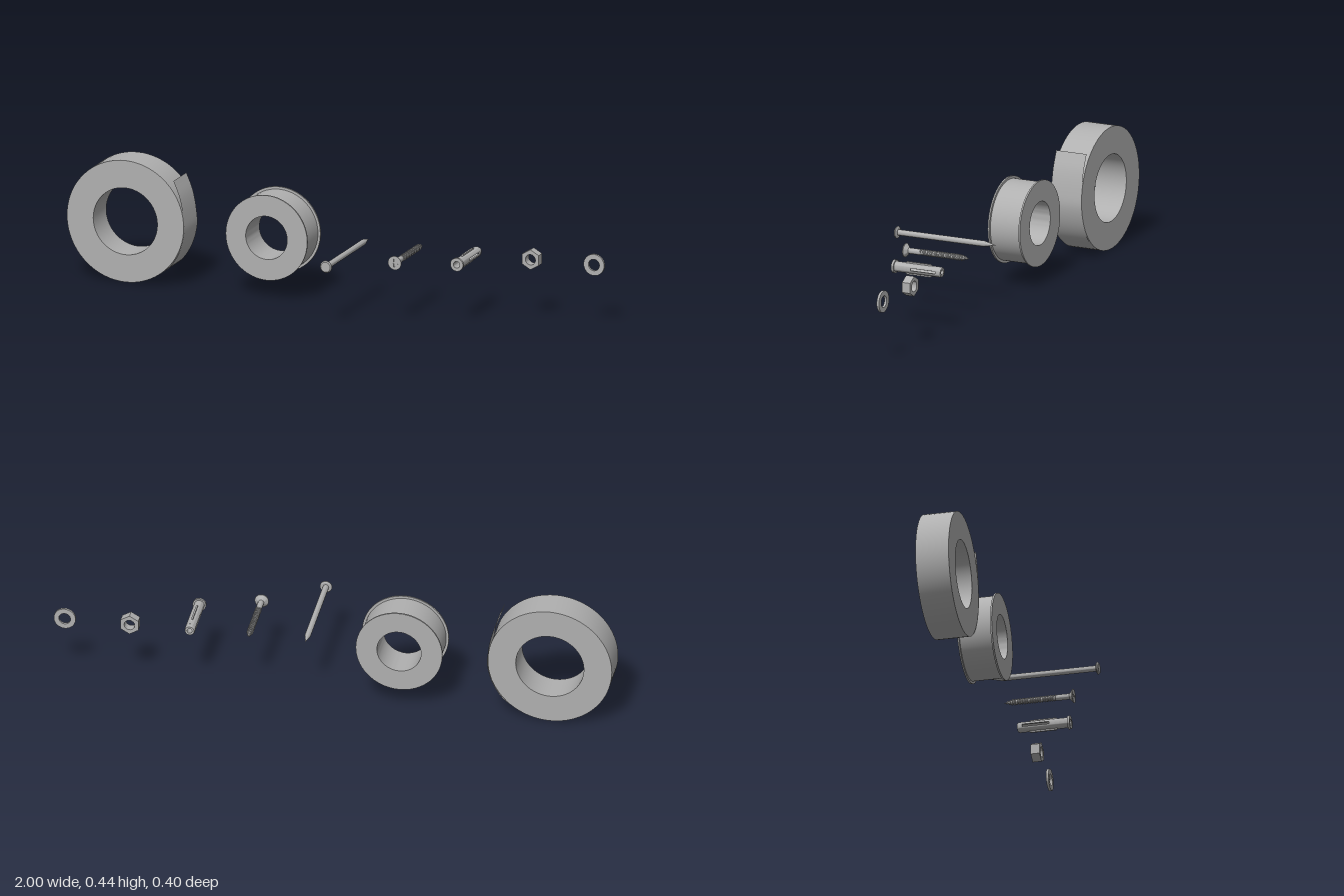
import * as THREE from 'three';
import { toCreasedNormals } from 'three/addons/utils/BufferGeometryUtils.js';

const AXIS_Y = 0.223; // height of every item's axis
const BACK = -0.197; // common back plane

export function createModel() {
  const root = new THREE.Group();
  const grey = new THREE.MeshStandardMaterial({ color: 0xb0b0b0, side: THREE.DoubleSide });
  grey.name = 'grey';

  const item = (name, x) => {
    const g = new THREE.Group();
    g.name = name;
    g.position.set(x, AXIS_Y, 0);
    root.add(g);
    return g;
  };
  const add = (group, name, geometry) => {
    const m = new THREE.Mesh(geometry, grey);
    m.name = name;
    group.add(m);
    return m;
  };
  // Turned solid along z from [radius, z] pairs, back to front
  const turned = (pairs, segments = 32) => {
    const g = new THREE.LatheGeometry(pairs.map(([r, z]) => new THREE.Vector2(r, z)), segments);
    g.rotateX(Math.PI / 2);
    return toCreasedNormals(g, 0.5);
  };
  const ring = (outer, inner, z0, z1, segments) =>
    turned([[inner, z0], [outer, z0], [outer, z1], [inner, z1], [inner, z0]], segments);
  const extruded = (shape, z0, z1, curveSegments = 24) => {
    const g = new THREE.ExtrudeGeometry(shape, { depth: z1 - z0, bevelEnabled: false, curveSegments });
    g.translate(0, 0, z0);
    return toCreasedNormals(g, 0.5);
  };
  const circleHole = (r) => new THREE.Path().absarc(0, 0, r, 0, Math.PI * 2, true);

  // Wide tape roll with a loose tail
  const roll = item('tapeRoll', -0.778);
  add(roll, 'tapeRing', ring(0.222, 0.122, BACK, -0.077, 72));
  const tailCurve = new THREE.CatmullRomCurve3([
    [0.183, 0.167], [0.207, 0.107], [0.221, 0.037], [0.224, -0.023],
    [0.204, -0.094], [0.169, -0.149], [0.119, -0.188],
  ].map(([x, y]) => new THREE.Vector3(x, y, 0)));
  const tail = new THREE.PlaneGeometry(1, 1, 32, 1);
  const pos = tail.attributes.position;
  for (let i = 0; i < pos.count; i++) {
    const p = tailCurve.getPoint(THREE.MathUtils.clamp(pos.getX(i) + 0.5, 0, 1));
    pos.setXYZ(i, p.x, p.y, pos.getY(i) > 0 ? -0.077 : BACK);
  }
  tail.computeVertexNormals();
  add(roll, 'tapeTail', tail);

  // Spool with thin flanges
  const spool = item('spool', -0.238);
  add(spool, 'spoolBody', turned([
    [0.079, BACK], [0.155, BACK], [0.155, -0.191], [0.146, -0.191],
    [0.146, -0.076], [0.155, -0.076], [0.155, -0.07], [0.079, -0.07], [0.079, BACK],
  ], 72));

  // Nail
  const nail = item('nail', 0.098);
  add(nail, 'nailShaft', turned([[0, BACK], [0.0105, -0.15], [0.0105, 0.19]], 24));
  add(nail, 'nailHead', turned([
    [0, 0.189], [0.017, 0.189], [0.022, 0.192], [0.022, 0.195], [0.018, 0.199], [0, 0.199],
  ], 24));

  // Countersunk screw
  const screw = item('screw', 0.302);
  add(screw, 'screwShaft', turned([
    [0, BACK], [0.008, -0.165], [0.009, -0.01], [0.0105, 0], [0.0105, 0.042], [0.025, 0.054], [0, 0.054],
  ], 24));
  const cap = new THREE.Shape().absarc(0, 0, 0.025, 0, Math.PI * 2, false);
  const cross = new THREE.Path();
  const a = 0.003, b = 0.014;
  cross.setFromPoints([
    [a, a], [a, b], [-a, b], [-a, a], [-b, a], [-b, -a],
    [-a, -a], [-a, -b], [a, -b], [a, -a], [b, -a], [b, a],
  ].map(([x, y]) => new THREE.Vector2(x, y)));
  cap.holes.push(cross);
  add(screw, 'screwHead', extruded(cap, 0.054, 0.057));
  class Helix extends THREE.Curve {
    getPoint(t, target = new THREE.Vector3()) {
      const z = -0.005 - 0.182 * t;
      const r = z < -0.165 ? 0.0095 * (z - BACK) / (-0.165 - BACK) : 0.0095;
      const angle = t * 20 * Math.PI * 2;
      return target.set(Math.cos(angle) * r, Math.sin(angle) * r, z);
    }
  }
  add(screw, 'screwThread', new THREE.TubeGeometry(new Helix(), 400, 0.0027, 4));

  // Wall plug: collar, sleeve, split middle, closed tip and gripping fins
  const plug = item('wallPlug', 0.512);
  add(plug, 'plugCollar', ring(0.024, 0.012, -0.015, -0.006));
  add(plug, 'plugSleeve', ring(0.0185, 0.012, -0.08, -0.015));
  add(plug, 'plugTip', turned([
    [0.009, BACK], [0.0165, BACK], [0.0185, -0.19], [0.0185, -0.178],
    [0.012, -0.178], [0.009, BACK],
  ]));
  const half = new THREE.Shape();
  half.absarc(0, 0, 0.0185, 0.245, Math.PI - 0.245, false);
  half.absarc(0, 0, 0.012, Math.PI - 0.385, 0.385, true);
  half.closePath();
  const fin = new THREE.Shape();
  fin.moveTo(0.052, 0.015);
  fin.lineTo(0.058, 0.0235);
  fin.lineTo(0.15, 0.0235);
  fin.lineTo(0.165, 0.015);
  const finGeometry = extruded(fin, -0.003, 0.003);
  finGeometry.rotateY(Math.PI / 2);
  for (const turn of [0, Math.PI]) {
    add(plug, 'plugHalf', extruded(half, -0.178, -0.08)).rotation.z = turn;
    add(plug, 'plugFin', finGeometry).rotation.z = turn;
  }

  // Hexagonal nut
  const nut = item('nut', 0.727);
  const hex = new THREE.Shape();
  for (let i = 0; i < 6; i++) {
    const t = Math.PI / 2 + i * Math.PI / 3;
    hex[i ? 'lineTo' : 'moveTo'](0.0365 * Math.cos(t), 0.0365 * Math.sin(t));
  }
  hex.closePath();
  hex.holes.push(circleHole(0.019));
  add(nut, 'nutBody', extruded(hex, BACK, -0.165));

  // Flat washer
  const washer = item('washer', 0.959);
  add(washer, 'washerRing', ring(0.039, 0.021, BACK, -0.188, 40));

  return root;
}
